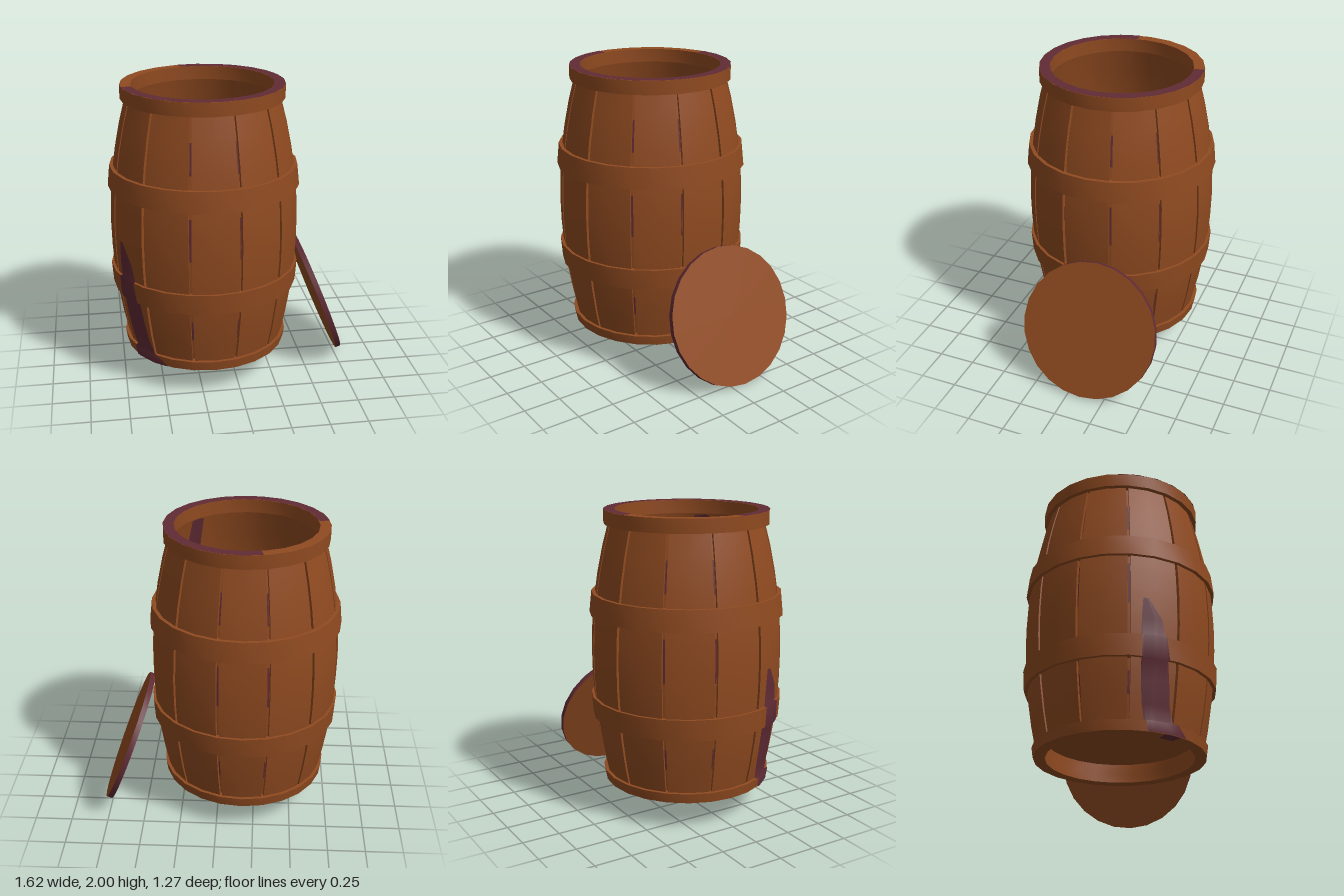
import * as THREE from 'three';
import { toCreasedNormals } from 'three/addons/utils/BufferGeometryUtils.js';

const SIDES = 24;
const WALL = 0.028; // depth of the inner wall behind the staves
const rad = THREE.MathUtils.degToRad;

// Bulging outline of the barrel: radius at height y
const bulge = (y) => 0.627 - (y > 1.05 ? 0.163 : 0.142) * (y - 1.05) ** 2;

// Radius of a SIDES-sided polygon at a given angle
function facet(r, a) {
  const step = (Math.PI * 2) / SIDES;
  const m = ((a % step) + step) % step;
  return (r * Math.cos(step / 2)) / Math.cos(m - step / 2);
}

// Move each vertex of a unit geometry to (angle, y, radius) around the barrel axis
function wrap(geo, rule) {
  const p = geo.attributes.position;
  for (let i = 0; i < p.count; i++) {
    const [a, y, r] = rule(p.getX(i) + 0.5, p.getY(i) + 0.5, p.getZ(i) + 0.5);
    p.setXYZ(i, Math.sin(a) * r, y, Math.cos(a) * r);
  }
  geo.computeVertexNormals();
  return geo;
}

// Lathe from [radius, y] points
function lathe(points, start = 0, length = Math.PI * 2, segments = SIDES) {
  const v = points.map(([r, y]) => new THREE.Vector2(r, y));
  return toCreasedNormals(new THREE.LatheGeometry(v, segments, start, length), 0.5);
}

export function createModel() {
  const wood = new THREE.MeshStandardMaterial({ color: 0x8f4a20, side: THREE.DoubleSide });
  wood.name = 'brown wood';
  const plum = new THREE.MeshStandardMaterial({ color: 0x602b35, side: THREE.DoubleSide });
  plum.name = 'plum stain';

  const model = new THREE.Group();
  model.name = 'barrelWithLid';
  const barrel = new THREE.Group();
  barrel.name = 'barrel';
  barrel.position.x = -0.173;
  model.add(barrel);
  const add = (parent, name, geo, mat) => {
    const mesh = new THREE.Mesh(geo, mat);
    mesh.name = name;
    parent.add(mesh);
    return mesh;
  };

  // Twelve staves with narrow grooves between them
  const half = rad(14.1);
  const staveGeo = toCreasedNormals(
    wrap(new THREE.BoxGeometry(1, 1, 1, 2, 10, 1), (u, v, w) => {
      const y = 0.23 + v * 1.7;
      return [(u * 2 - 1) * half, y, bulge(y) - (1 - w) * (WALL - 0.005)];
    }), 0.5);
  // Stained patches at the bottom of each groove
  const grooveStains = [[1.55, 1.75], [1, 1.28], [0.42, 0.56]].map(([y0, y1]) =>
    wrap(new THREE.PlaneGeometry(1, 1, 1, 2), (u, v) => {
      const y = y0 + (y1 - y0) * v;
      return [rad(15 + (u - 0.5) * 1.4), y, bulge(y) - WALL + 0.008];
    }));
  for (let i = 0; i < 12; i++) {
    const turn = (i * Math.PI) / 6;
    add(barrel, 'stave', staveGeo, wood).rotation.y = turn;
    for (const geo of grooveStains) add(barrel, 'grooveStain', geo, plum).rotation.y = turn;
  }

  // Inner wall, seen inside the barrel and in the grooves
  const wall = [];
  for (let i = 0; i <= 10; i++) {
    const y = 0.23 + i * 0.17;
    wall.push([bulge(y) - WALL, y]);
  }
  add(barrel, 'innerWall', lathe(wall), wood);

  // Hoops: bottom and top radius, bottom and top inner radius, height range
  const hoops = [
    ['bottomHoop', 0.55, 0.56, 0.475, 0.475, 0.195, 0.26],
    ['lowerHoop', 0.625, 0.635, 0.58, 0.6, 0.64, 0.78],
    ['upperHoop', 0.637, 0.622, 0.6, 0.58, 1.33, 1.47],
    ['topHoop', 0.535, 0.535, 0.465, 0.465, 1.91, 2],
  ];
  for (const [name, r0, r1, i0, i1, y0, y1] of hoops) {
    add(barrel, name, lathe([[r0, y0], [r1, y1], [i1, y1], [i0, y0], [r0, y0]]), wood);
  }

  // Recessed floor with its supporting wall
  add(barrel, 'floor', lathe([[0, 0.32], [0.476, 0.32], [0.476, 0.35], [0, 0.35]]), wood);
  add(barrel, 'footWall', lathe([[0.475, 0.25], [0.475, 0.35]]), wood);

  // Stained part of the top rim, and a patch under the foot
  add(barrel, 'rimStain',
    lathe([[0.535, 2.0015], [0.465, 2.0015]], rad(278), rad(274), 19), plum);
  add(barrel, 'footStain',
    lathe([[0.475, 0.1935], [0.55, 0.1935]], rad(-51), rad(12), 2), plum);

  // Stain running down the outside: y, radius, start and end angle in degrees
  const rows = [
    [0.195, 0.55, -63, -34], [0.26, 0.56, -64, -42],
    [0.262, bulge(0.262), -65, -45], [0.36, bulge(0.36), -67, -48.5],
    [0.5, bulge(0.5), -68, -50], [0.638, bulge(0.638), -68, -51.5],
    [0.64, 0.625, -68, -51.5], [0.78, 0.635, -68, -53.5],
    [0.782, bulge(0.782), -68, -53.5], [0.9, bulge(0.9), -68, -56],
    [1.03, bulge(1.03), -67, -64],
  ];
  add(barrel, 'outerStain',
    wrap(new THREE.PlaneGeometry(1, 1, 12, rows.length - 1), (u, v) => {
      const [y, r, a0, a1] = rows[Math.round(v * (rows.length - 1))];
      const a = rad(a0 + (a1 - a0) * u);
      return [a, y, facet(r, a) + 0.006];
    }), plum);

  // Stain running down the inside
  add(barrel, 'innerStain',
    wrap(new THREE.PlaneGeometry(1, 1, 6, 10), (u, v) => {
      const y = 0.4 + v * 1.5;
      const a = rad(45 + (u - 0.5) * (20 - 8 * v));
      return [a, y, facet(bulge(y) - WALL, a) - 0.006];
    }), plum);

  // Lid leaning against the barrel, with a dark edge
  const lid = add(model, 'lid',
    toCreasedNormals(new THREE.CylinderGeometry(0.464, 0.464, 0.036, SIDES), 0.5), [plum, wood, wood]);
  lid.position.set(0.624, 0.445, -0.09);
  lid.rotation.z = -Math.atan2(0.935, 0.355);
  return model;
}
